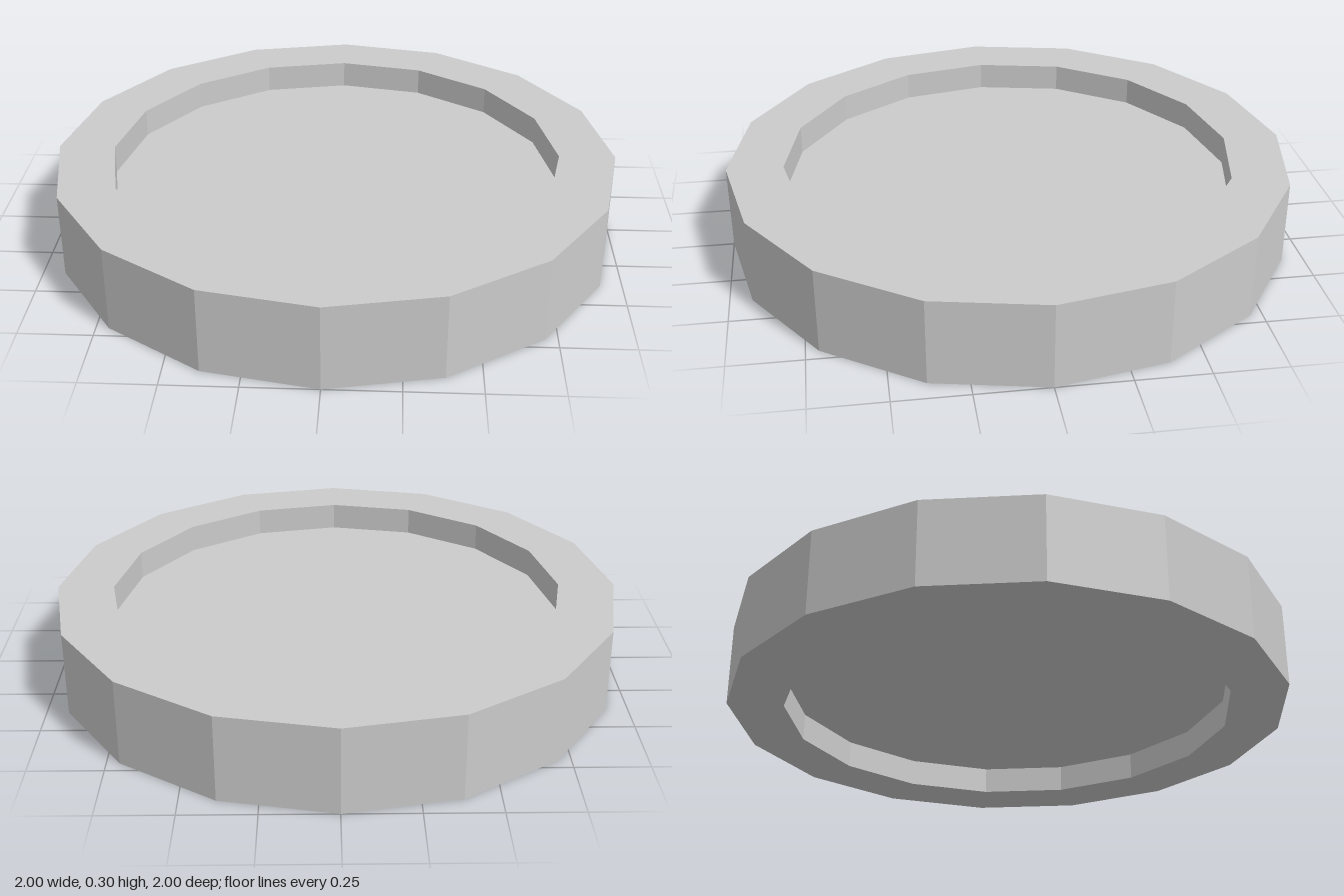
import * as THREE from 'three';

const SIDES = 16;
const OUTER = 1, INNER = 0.8, HEIGHT = 0.3, RECESS = 0.1;

export function createModel() {
  const group = new THREE.Group();
  group.name = 'recessedDisc';

  // Half section: underside recess, raised rim, top recess
  const profile = [
    [0, RECESS], [INNER, RECESS], [INNER, 0], [OUTER, 0],
    [OUTER, HEIGHT], [INNER, HEIGHT], [INNER, HEIGHT - RECESS], [0, HEIGHT - RECESS],
  ].map(([r, y]) => new THREE.Vector2(r, y));

  const disc = new THREE.Mesh(
    new THREE.LatheGeometry(profile, SIDES),
    new THREE.MeshStandardMaterial({ color: 0xcccccc, flatShading: true })
  );
  disc.name = 'rimmedDisc';
  group.add(disc);

  return group;
}
